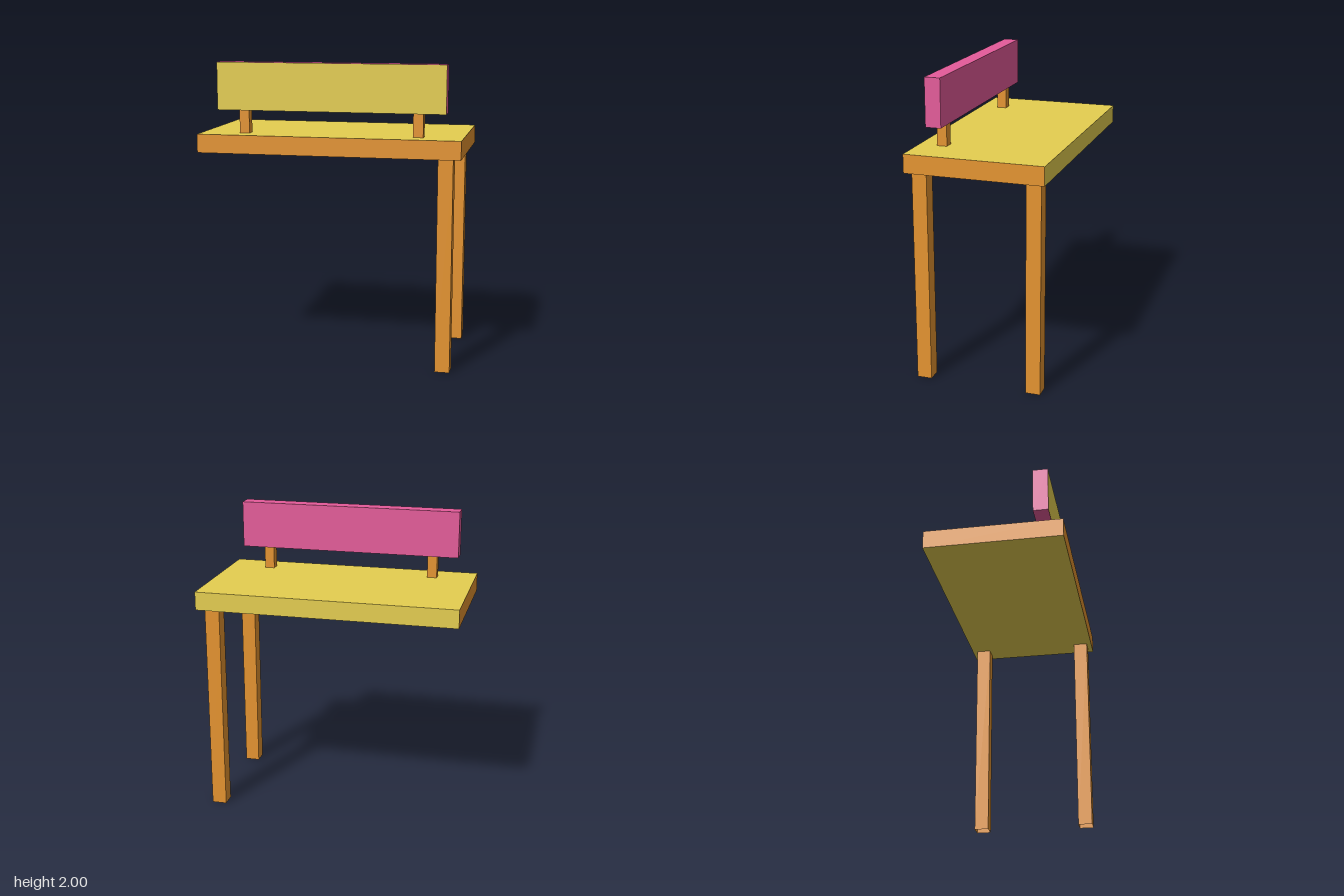
import * as THREE from 'three';

export function createModel() {
  const model = new THREE.Group();
  model.name = 'bench';

  const paint = (name, color) =>
    new THREE.MeshStandardMaterial({ name, color, side: THREE.DoubleSide });
  const orange = paint('orange', 0xe59430);
  const olive = paint('olive', 0xe5ce50);
  const pink = paint('pink', 0xe55b9a);

  // Box from its two extreme corners; faces run +x, -x, +y, -y, +z, -z
  function addBox(name, min, max, material) {
    const size = max.map((v, i) => v - min[i]);
    const geometry = new THREE.BoxGeometry(...size);
    geometry.translate(...max.map((v, i) => (v + min[i]) / 2));
    const mesh = new THREE.Mesh(geometry, material);
    mesh.name = name;
    model.add(mesh);
    return mesh;
  }

  // Hollow square tube: a box without its top and bottom faces
  function addTube(name, min, max) {
    const { geometry } = addBox(name, min, max, orange);
    const index = Array.from(geometry.index.array);
    geometry.setIndex(index.filter((_, i) => i < 12 || i >= 24));
    geometry.clearGroups();
  }

  // Seat slab: olive top, underside and back, orange front and ends
  addBox('seat', [-0.87, 1.41, -0.457], [0.87, 1.533, 0.457],
    [orange, orange, olive, olive, orange, olive]);

  // Rail above the seat: olive front, pink elsewhere
  addBox('rail', [-0.76, 1.685, 0.245], [0.76, 2, 0.348],
    [pink, pink, pink, pink, olive, pink]);

  // Short posts carrying the rail
  for (const [name, x] of [['leftPost', 0.579], ['rightPost', -0.58]]) {
    addTube(name, [x - 0.033, 1.533, 0.267], [x + 0.033, 1.685, 0.333]);
  }

  // Two legs, both under the left end
  for (const [name, z] of [['frontLeg', 0.375], ['backLeg', -0.373]]) {
    addTube(name, [0.72, 0, z - 0.049], [0.818, 1.41, z + 0.049]);
  }

  return model;
}
